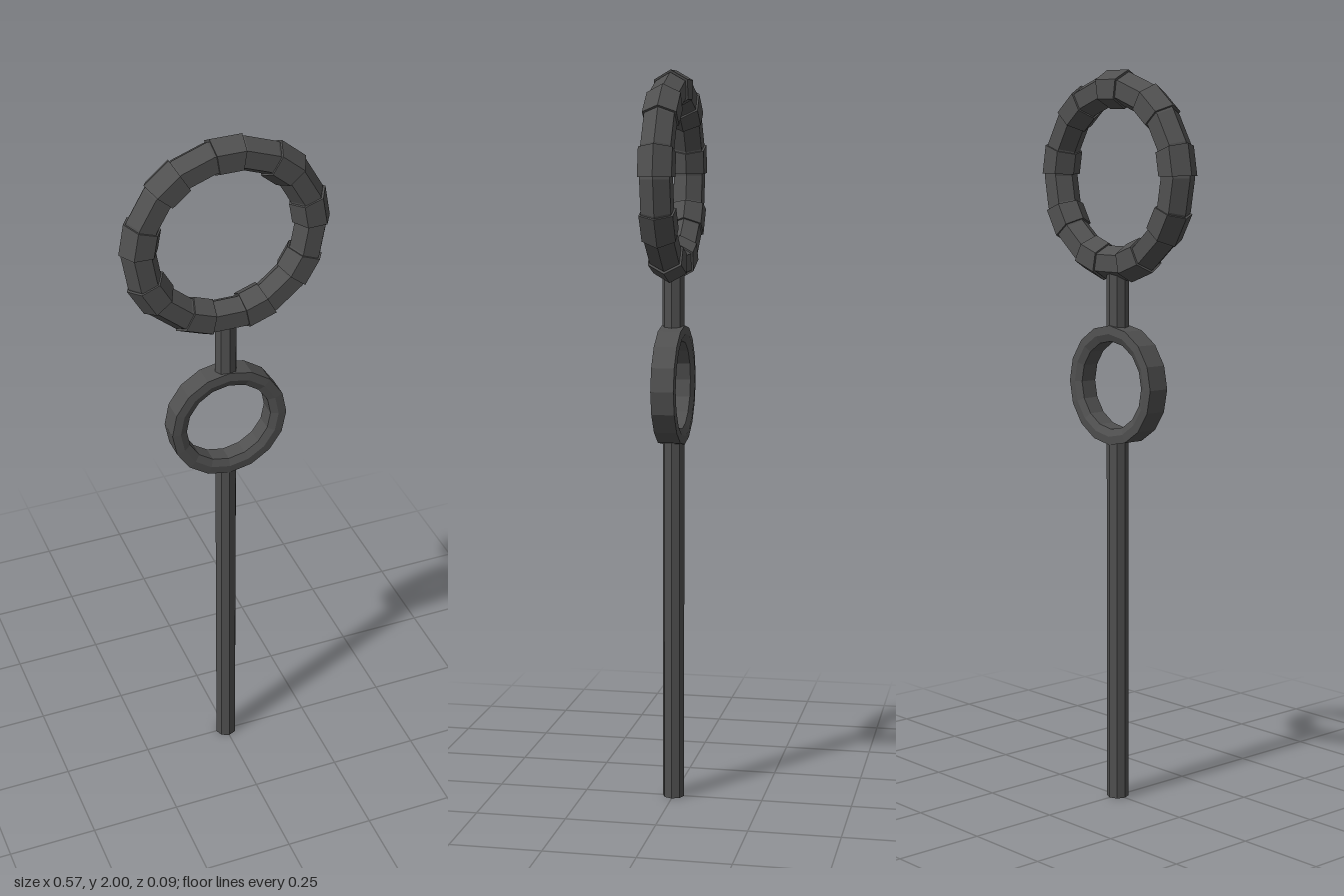
import * as THREE from 'three';

export function createModel() {
  const model = new THREE.Group();
  const mat = new THREE.MeshStandardMaterial({ color: 0x505050, flatShading: true });
  const add = (name, geometry, parent = model) => {
    const mesh = new THREE.Mesh(geometry, mat);
    mesh.name = name;
    parent.add(mesh);
    return mesh;
  };

  // Long handle and the short neck between the rings
  const rod = (name, y0, y1) => {
    add(name, new THREE.CylinderGeometry(0.03, 0.03, y1 - y0, 8)).position.y = (y0 + y1) / 2;
  };
  rod('handle', 0, 1.015);
  rod('neck', 1.305, 1.47);

  // Small ring: flat outer band with faces sloping to the inner edge
  const profile = [
    [0.12, -0.024], [0.14, -0.033], [0.163, -0.031],
    [0.163, 0.031], [0.14, 0.033], [0.12, 0.024], [0.12, -0.024],
  ].map(([r, z]) => new THREE.Vector2(r, z));
  const smallRing = add('smallRing', new THREE.LatheGeometry(profile, 16));
  smallRing.rotation.x = Math.PI / 2;
  smallRing.position.y = 1.16;

  // Large ring: hexagonal section, eighteen straight pieces
  const largeRing = new THREE.Group();
  largeRing.name = 'largeRing';
  largeRing.position.y = 1.72;
  model.add(largeRing);
  const R = 0.233;
  const core = add('ringCore', new THREE.TorusGeometry(R, 0.046, 6, 18), largeRing);
  core.rotation.z = Math.PI / 18 * 8;

  // Nine thicker wedge-shaped collars with hexagonal end caps
  const half = THREE.MathUtils.degToRad(8.7);
  for (let i = 0; i < 9; i++) {
    const collar = new THREE.Group();
    collar.name = 'collar';
    collar.rotation.z = Math.PI / 2 + i * Math.PI * 2 / 9;
    largeRing.add(collar);
    const sleeve = add('collarSleeve', new THREE.TorusGeometry(R, 0.052, 6, 1, half * 2), collar);
    sleeve.rotation.z = -half;
    for (const side of [-1, 1]) {
      const cap = new THREE.CircleGeometry(0.052, 6);
      cap.rotateX(-side * Math.PI / 2).translate(R, 0, 0).rotateZ(side * half);
      add('collarEnd', cap, collar);
    }
  }
  return model;
}
